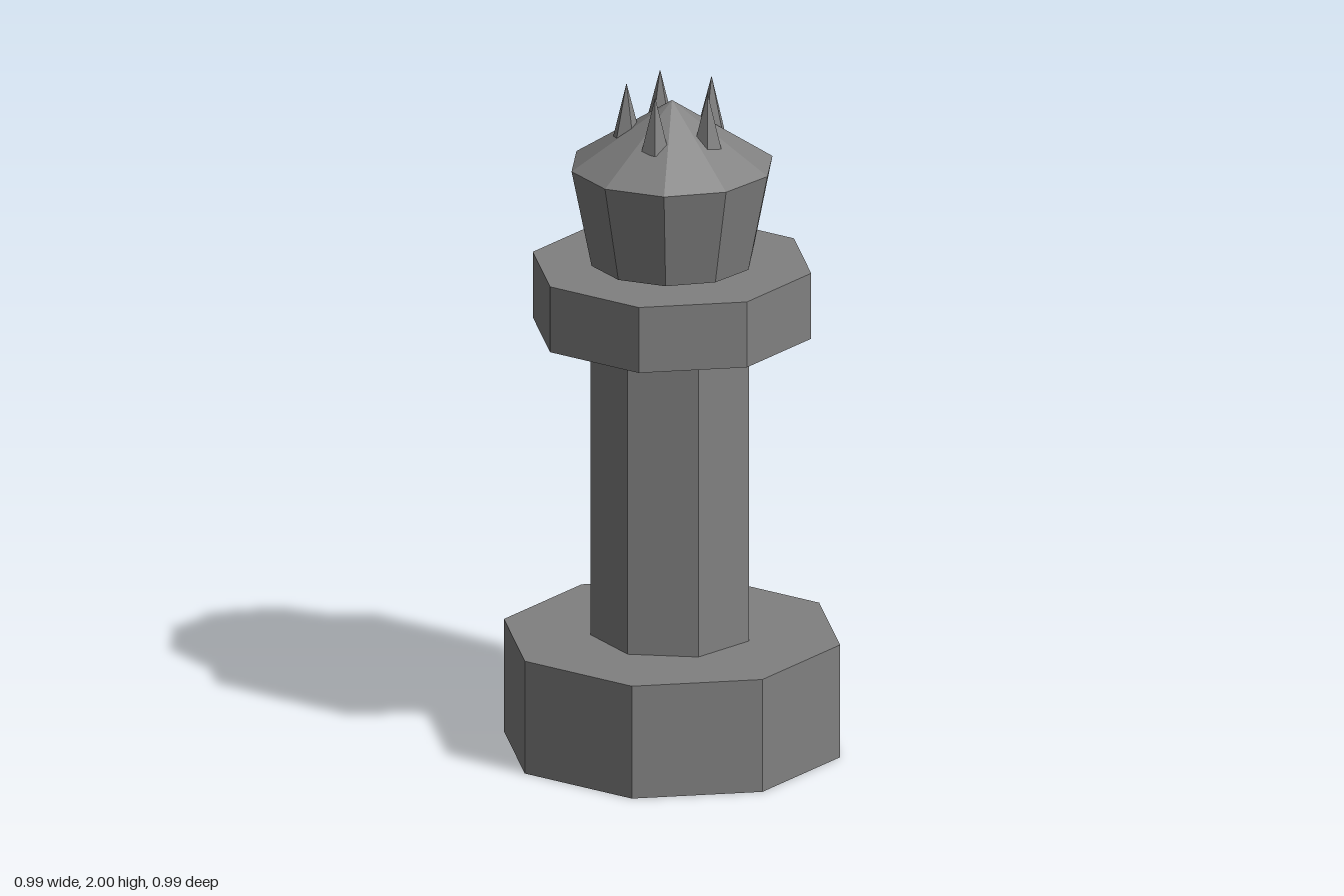
import * as THREE from 'three';

export function createModel() {
  const group = new THREE.Group();
  const stone = new THREE.MeshStandardMaterial({ color: 0x808080, flatShading: true });
  stone.name = 'grey stone';

  // Faceted prism or cone standing between two heights
  function prism(name, rTop, rBottom, y0, y1, sides, turn = 0, x = 0, z = 0) {
    const mesh = new THREE.Mesh(new THREE.CylinderGeometry(rTop, rBottom, y1 - y0, sides), stone);
    mesh.name = name;
    mesh.position.set(x, (y0 + y1) / 2, z);
    mesh.rotation.y = turn;
    group.add(mesh);
  }

  prism('base', 0.495, 0.495, 0, 0.34, 8);
  prism('shaft', 0.235, 0.235, 0.34, 1.26, 7, Math.PI / 2);
  prism('collar', 0.41, 0.41, 1.26, 1.458, 8);
  prism('neck', 0.07, 0.07, 1.45, 1.47, 10);
  prism('bowl', 0.296, 0.237, 1.467, 1.757, 10);
  prism('domeRoof', 0, 0.296, 1.757, 1.95, 10);

  // Ring of spikes around the roof: x, z, direction of one corner in degrees
  const spikes = [
    [0.133, 0, 0],
    [0.043, 0.124, 50],
    [-0.106, 0.08, 50],
    [-0.11, -0.07, 22],
    [0.036, -0.124, 8],
  ];
  for (const [x, z, corner] of spikes) {
    prism('spike', 0, 0.042, 1.835, 2, 5, Math.PI / 2 - THREE.MathUtils.degToRad(corner), x, z);
  }
  return group;
}
